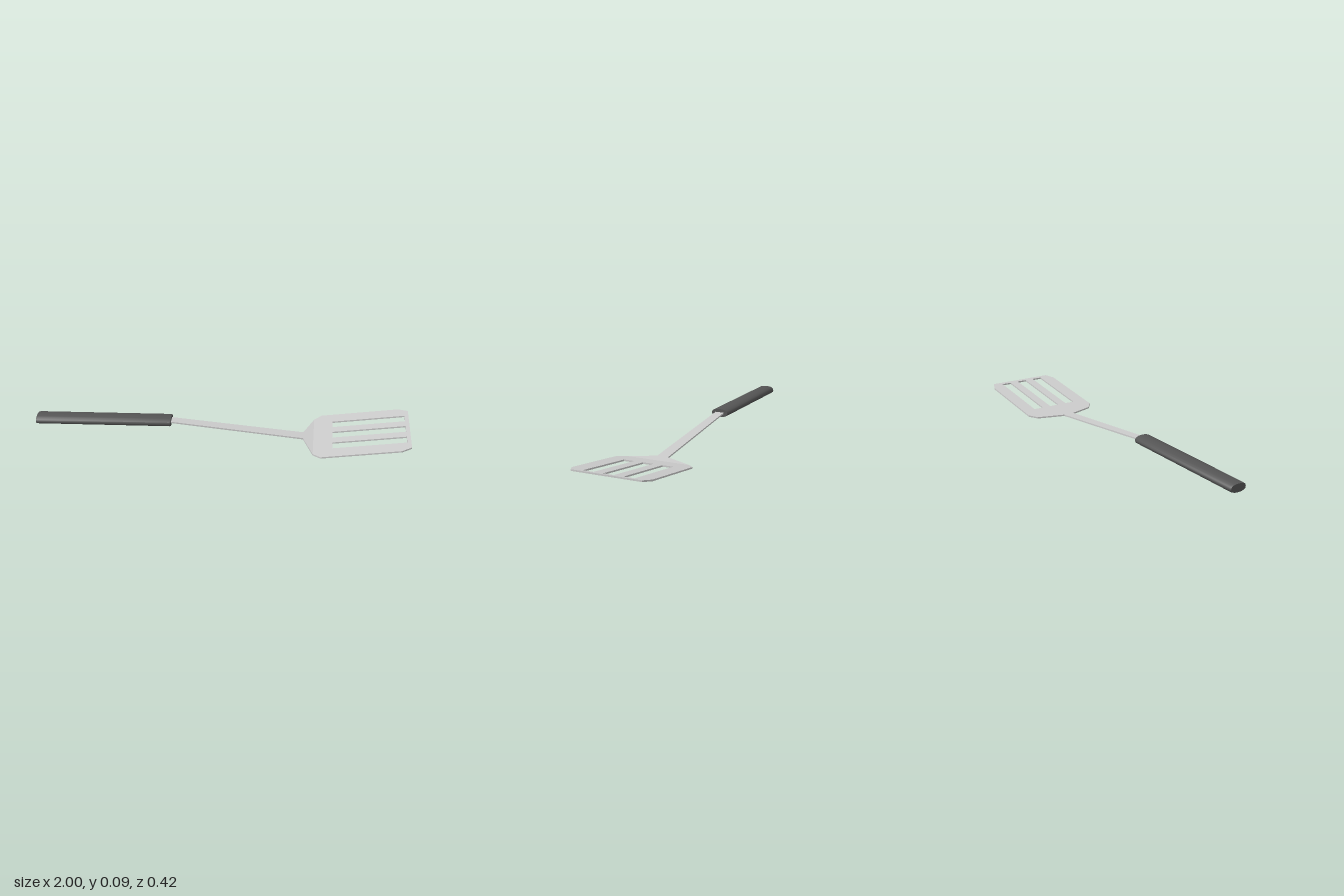
import * as THREE from 'three';
import { toCreasedNormals } from 'three/addons/utils/BufferGeometryUtils.js';

const THICK = 0.008;
const steel = new THREE.MeshStandardMaterial({ color: 0xcccccc });
const grip = new THREE.MeshStandardMaterial({ color: 0x555555 });

// Underside height of the bent sheet: shaft slopes down to the fold, blade slopes up
const sheetY = x => (x < 0.5 ? (0.5 - x) * 0.0745 : (x - 0.5) * 0.163);

const toPoints = list => list.map(p => new THREE.Vector2(...p));

// Flat plate from one half outline [x, z], mirrored across z = 0, then tilted
function plate(name, half, slots = []) {
  const mirrored = half.map(([x, z]) => [x, -z]);
  const shape = new THREE.Shape(toPoints([...mirrored, ...half.reverse()]));
  for (const [x0, x1, z0, z1] of slots) {
    shape.holes.push(new THREE.Path(toPoints([[x0, z0], [x0, z1], [x1, z1], [x1, z0]])));
  }
  const geo = new THREE.ExtrudeGeometry(shape, { depth: THICK, bevelEnabled: false });
  geo.rotateX(-Math.PI / 2);
  const pos = geo.attributes.position;
  for (let i = 0; i < pos.count; i++) pos.setY(i, pos.getY(i) + sheetY(pos.getX(i)));
  geo.computeVertexNormals();
  const mesh = new THREE.Mesh(geo, steel);
  mesh.name = name;
  return mesh;
}

// Flattened round grip, rising slightly towards the shaft
function handle() {
  const x0 = -1, x1 = -0.263;
  const profile = [[0, x0], [0.92, x0], [1, x0 + 0.01], [1, x1 - 0.003], [0.97, x1], [0, x1]];
  const geo = new THREE.LatheGeometry(toPoints(profile), 16);
  geo.rotateZ(-Math.PI / 2);
  const pos = geo.attributes.position;
  const squash = v => Math.sign(v) * Math.abs(v) ** 0.85;
  for (let i = 0; i < pos.count; i++) {
    const x = pos.getX(i);
    const y = 0.032 + (x - x0) * 0.039 + squash(pos.getY(i)) * 0.023;
    pos.setXYZ(i, x, y, squash(pos.getZ(i)) * 0.048);
  }
  const mesh = new THREE.Mesh(toCreasedNormals(geo, 0.7), grip);
  mesh.name = 'handle';
  return mesh;
}

export function createModel() {
  const group = new THREE.Group();
  group.name = 'slottedTurner';

  // Shaft flaring into the shoulder of the blade
  const shaft = plate('shaft', [[-0.3, 0.024], [0.445, 0.03], [0.5, 0.172]]);

  // Blade with clipped corners and three slots
  const slots = [-0.103, 0.002, 0.107].map(z => [0.6, 0.98, z - 0.028, z + 0.028]);
  const blade = plate('blade', [[0.5, 0.172], [0.54, 0.208], [0.95, 0.208], [1, 0.182]], slots);

  group.add(handle(), shaft, blade);
  return group;
}
